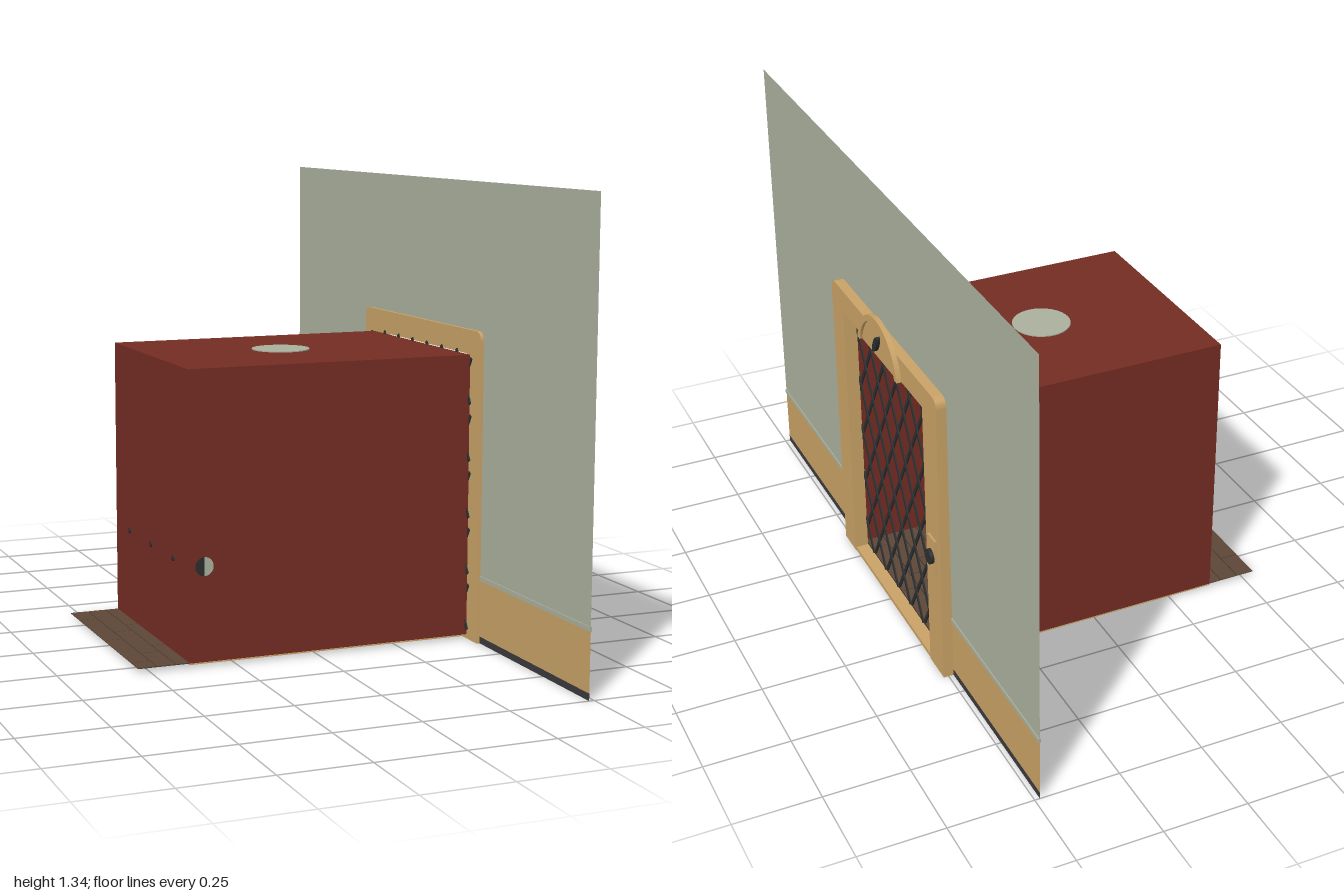
import * as THREE from 'three';

const material = (name, color, side = THREE.FrontSide) =>
  Object.assign(new THREE.MeshStandardMaterial({ color, side }), { name });

export function createModel() {
  const red = material('carRed', 0x722c22, THREE.DoubleSide);
  const green = material('sageGreen', 0xaab09c, THREE.DoubleSide);
  const tan = material('honeyWood', 0xc8a165, THREE.DoubleSide);
  const brown = material('plankBrown', 0x5c4636);
  const dark = material('darkIron', 0x2a2d2e);
  const skirt = material('skirtingGrey', 0x3a3a3e, THREE.DoubleSide);

  const model = new THREE.Group();
  model.name = 'elevator';

  const add = (name, geometry, mat, parent = model) => {
    const mesh = new THREE.Mesh(geometry, mat);
    mesh.name = name;
    parent.add(mesh);
    return mesh;
  };
  const group = (name) => {
    const g = new THREE.Group();
    g.name = name;
    model.add(g);
    return g;
  };
  // Box given by its limits on each axis
  const box = (name, [x0, x1], [y0, y1], [z0, z1], mat, parent) => {
    const g = new THREE.BoxGeometry(x1 - x0, y1 - y0, z1 - z0);
    g.translate((x0 + x1) / 2, (y0 + y1) / 2, (z0 + z1) / 2);
    return add(name, g, mat, parent);
  };
  // Shape drawn as seen from +x (u = -z, v = y), extruded along +x
  const extrudeX = (name, shape, x, depth, mat, parent) => {
    const g = new THREE.ExtrudeGeometry(shape, { depth, bevelEnabled: false, curveSegments: 16 });
    g.rotateY(Math.PI / 2).translate(x, 0, 0);
    return add(name, g, mat, parent);
  };
  // Flat wall sheet facing +x
  const sheet = (name, [y0, y1], [z0, z1], mat, parent) => {
    const g = new THREE.PlaneGeometry(z1 - z0, y1 - y0).rotateY(Math.PI / 2);
    g.translate(0.485, (y0 + y1) / 2, (z0 + z1) / 2);
    return add(name, g, mat, parent);
  };

  // Hall wall with a doorway
  const wall = group('hallWall');
  sheet('upperWall', [0.875, 1.335], [-1, 1], green, wall);
  for (const z of [[-1, -0.37], [0.33, 1]]) {
    sheet('lowerWall', [0.19, 0.875], z, green, wall);
    sheet('wainscot', [0.02, 0.19], z, tan, wall);
    sheet('skirting', [0, 0.02], z, skirt, wall);
    box('wallRail', [0.482, 0.488], [0.187, 0.2], z, green, wall);
  }

  // Door frame with rounded top corners
  const door = group('doorFrame');
  const frame = new THREE.Shape();
  const r = 0.03;
  frame.moveTo(-0.375, 0);
  frame.lineTo(-0.285, 0);
  frame.lineTo(-0.285, 0.84);
  frame.lineTo(0.32, 0.84);
  frame.lineTo(0.32, 0);
  frame.lineTo(0.42, 0);
  frame.lineTo(0.42, 0.91 - r);
  frame.quadraticCurveTo(0.42, 0.91, 0.42 - r, 0.91);
  frame.lineTo(-0.375 + r, 0.91);
  frame.quadraticCurveTo(-0.375, 0.91, -0.375, 0.91 - r);
  extrudeX('frame', frame, 0.475, 0.04, tan, door);
  box('sill', [0.475, 0.513], [0, 0.012], [-0.32, 0.285], tan, door);

  // Floor indicator: arched dial, raised rim and needle
  const dial = group('floorIndicator');
  const a = Math.asin(0.028 / 0.153);
  const arch = (radius) => {
    const s = new THREE.Shape();
    const b = Math.asin(0.028 / radius);
    s.absarc(0.0225, 0.812, radius, b, Math.PI - b, false);
    return s;
  };
  extrudeX('dialFace', arch(0.14), 0.515, 0.007, tan, dial);
  const rim = new THREE.Shape();
  rim.absarc(0.0225, 0.812, 0.153, a, Math.PI - a, false);
  const b = Math.asin(0.028 / 0.135);
  rim.absarc(0.0225, 0.812, 0.135, Math.PI - b, b, true);
  extrudeX('dialRim', rim, 0.515, 0.015, tan, dial);
  const needle = new THREE.Shape();
  needle.absellipse(0.017, 0.885, 0.011, 0.034, 0, Math.PI * 2, false, -0.55);
  extrudeX('needle', needle, 0.522, 0.011, dark, dial);

  // Call button on its plate
  const call = group('callButton');
  box('callPlate', [0.515, 0.521], [0.33, 0.45], [-0.395, -0.345], tan, call);
  const knob = new THREE.CylinderGeometry(0.022, 0.022, 0.012, 20).rotateZ(-Math.PI / 2);
  add('callKnob', knob, dark, call).position.set(0.526, 0.39, -0.37);

  // Car shell, open towards the doorway
  const car = group('car');
  const t = 0.004;
  box('backWall', [-0.385, -0.385 + t], [0.012, 0.838], [-0.355, 0.31], red, car);
  box('rightWall', [-0.385, 0.475], [0.012, 0.838], [-0.355, -0.355 + t], red, car);
  box('leftWall', [-0.385, 0.475], [0.012, 0.838], [0.31 - t, 0.31], red, car);
  box('roof', [-0.385, 0.475], [0.838 - t, 0.838], [-0.355, 0.31], red, car);
  box('floorBase', [-0.385, 0.475], [0.008, 0.011], [-0.355, 0.31], tan, car);

  // Plank floor with staggered joints over a dark backing
  const floor = group('plankFloor');
  const backing = new THREE.PlaneGeometry(1.008, 0.663).rotateX(-Math.PI / 2);
  add('jointBacking', backing, dark, floor).position.set(-0.03, 0.0118, -0.0225);
  const rows = 18;
  const w = 1.01 / rows;
  for (let i = 0; i < rows; i++) {
    const x0 = -0.535 + i * w;
    const joints = [-0.355];
    for (let z = -0.355 + 0.1 + ((i * 0.17) % 0.24); z < 0.28; z += 0.25) joints.push(z);
    joints.push(0.31);
    for (let j = 0; j + 1 < joints.length; j++) {
      box('plank', [x0, x0 + w - 0.003], [0.0122, 0.0142],
        [joints[j], joints[j + 1] - 0.003], brown, floor);
    }
  }

  // Ceiling lamp set through the roof
  const lamp = group('ceilingLamp');
  add('lampGlass', new THREE.CylinderGeometry(0.085, 0.085, 0.018, 32), green, lamp)
    .position.set(0.02, 0.832, -0.02);
  add('lampTrim', new THREE.CylinderGeometry(0.088, 0.088, 0.005, 32, 1, true), dark, lamp)
    .position.set(0.02, 0.823, -0.02);

  // Handrail on the back wall, with brackets and an end cap
  const rail = group('handrail');
  const bar = new THREE.CylinderGeometry(0.025, 0.025, 0.65, 16).rotateX(Math.PI / 2);
  add('railBar', bar, tan, rail).position.set(-0.34, 0.285, -0.0155);
  for (const z of [-0.22, -0.02, 0.18]) {
    const bracket = new THREE.CylinderGeometry(0.008, 0.008, 0.05, 10).rotateZ(Math.PI / 2);
    add('railBracket', bracket, dark, rail).position.set(-0.364, 0.285, z);
  }
  [[green, -Math.PI / 2], [dark, Math.PI / 2]].forEach(([mat, start]) => {
    add('railEnd', new THREE.CircleGeometry(0.027, 20, start, Math.PI), mat, rail)
      .position.set(-0.34, 0.285, 0.312);
  });

  // Control panel through the right wall, with two columns of buttons inside
  const panel = group('controlPanel');
  box('panelPlate', [0.28, 0.405], [0.23, 0.43], [-0.358, -0.347], tan, panel);
  for (let i = 0; i < 8; i++) {
    const g = new THREE.CylinderGeometry(0.017, 0.017, 0.008, 16).rotateX(Math.PI / 2);
    add('floorButton', g, dark, panel)
      .position.set(0.315 + (i % 2) * 0.055, 0.262 + Math.floor(i / 2) * 0.045, -0.344);
  }

  // Folding lattice gate: two layers of slanted bars clipped to the doorway
  const gate = group('latticeGate');
  const [zMin, zMax, yMin, yMax] = [-0.365, 0.32, 0.013, 0.846];
  const slope = 0.6; // change in z per unit of y
  for (const dir of [-1, 1]) {
    for (let i = -10; i <= 10; i++) {
      const zMid = -0.02 + i * 0.1;
      const yMid = (yMin + yMax) / 2;
      const ends = [zMin, zMax].map((z) => yMid + (z - zMid) / (slope * dir)).sort((p, q) => p - q);
      const y0 = Math.max(yMin, ends[0]);
      const y1 = Math.min(yMax, ends[1]);
      if (y1 - y0 < 0.02) continue;
      const yc = (y0 + y1) / 2;
      const length = (y1 - y0) * Math.hypot(1, slope);
      const slat = add('gateSlat', new THREE.BoxGeometry(0.004, length, 0.011), dark, gate);
      slat.position.set(0.473 + dir * 0.002, yc, zMid + slope * dir * (yc - yMid));
      slat.rotation.x = Math.atan(slope * dir);
    }
  }

  return model;
}
